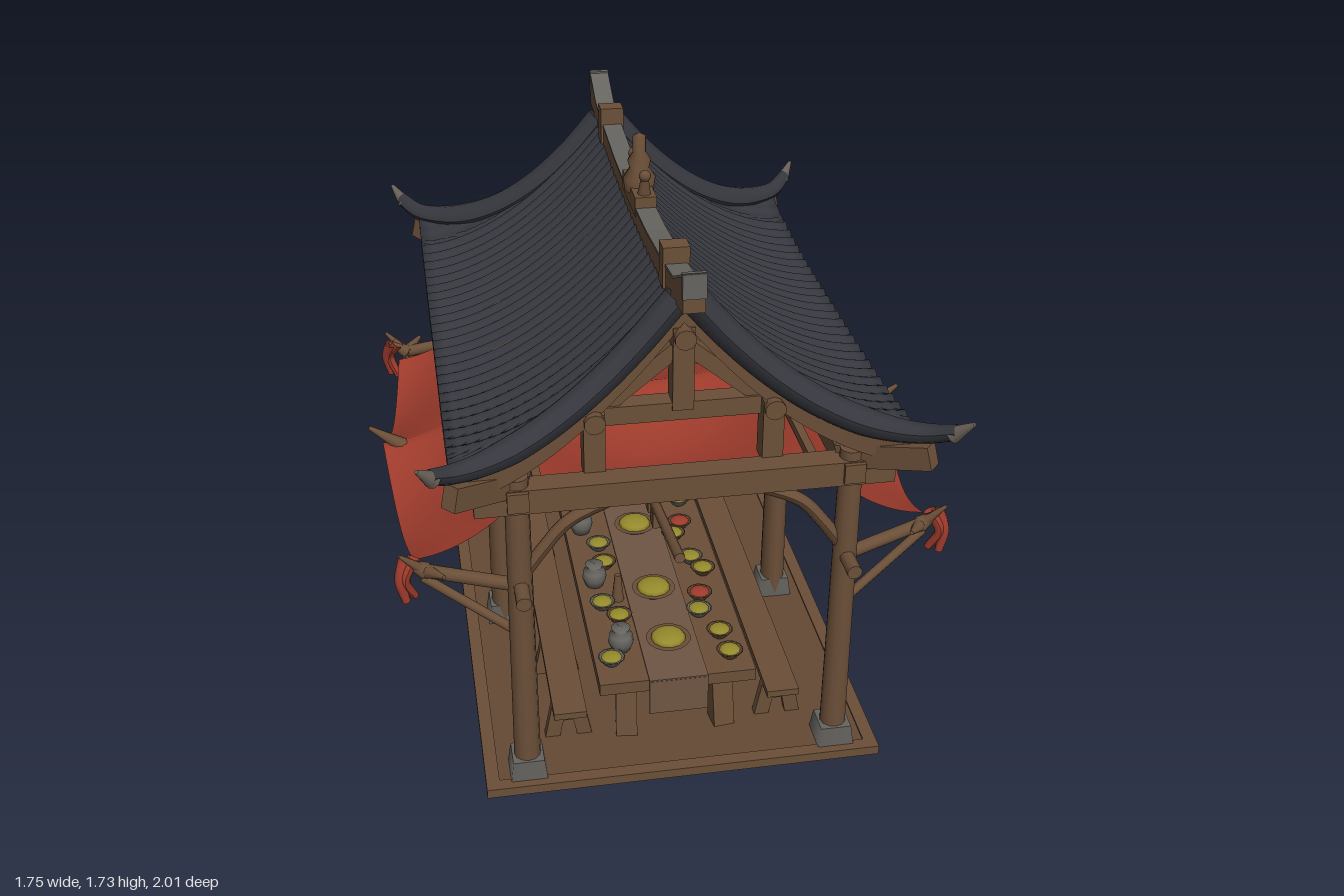
import * as THREE from 'three';

const mat = (name, color, side = THREE.FrontSide) => {
  const m = new THREE.MeshStandardMaterial({ color, side });
  m.name = name;
  return m;
};
const wood = mat('wood', 0x6b4f38, THREE.DoubleSide);
const floorWood = mat('floorWood', 0x644a35);
const tile = mat('roofTile', 0x36373e, THREE.DoubleSide);
const stone = mat('stone', 0x66645f);
const horn = mat('hornTip', 0x685f57);
const red = mat('redCloth', 0x9e3b2c, THREE.DoubleSide);
const runner = mat('tableRunner', 0x705644);
const yellow = mat('yellowFood', 0x958a2c);

const V = (x, y, z) => new THREE.Vector3(x, y, z);

export function createModel() {
  const root = new THREE.Group();
  root.name = 'pavilion';
  const add = (name, geo, m, x = 0, y = 0, z = 0) => {
    const mesh = new THREE.Mesh(geo, m);
    mesh.name = name;
    mesh.position.set(x, y, z);
    root.add(mesh);
    return mesh;
  };
  const box = (name, m, w, h, d, x, y, z) => add(name, new THREE.BoxGeometry(w, h, d), m, x, y, z);
  // Square beam or round rod from point a to point b
  const beam = (name, m, a, b, w, h = w) => {
    const mesh = box(name, m, w, h, a.distanceTo(b), 0, 0, 0);
    mesh.position.copy(a).lerp(b, 0.5);
    mesh.lookAt(b);
  };
  const rod = (name, m, a, b, r0, r1 = r0) => {
    const geo = new THREE.CylinderGeometry(r1, r0, a.distanceTo(b), 10).rotateX(Math.PI / 2);
    const mesh = add(name, geo, m);
    mesh.position.copy(a).lerp(b, 0.5);
    mesh.lookAt(b);
  };
  // Tube through points, tapering from r0 to r1 over the part after "from"
  const tube = (name, m, pts, r0, r1 = r0, from = 0, seg = 24) => {
    const curve = new THREE.CatmullRomCurve3(pts);
    const geo = new THREE.TubeGeometry(curve, seg, r0, 8);
    const p = geo.attributes.position, q = V(0, 0, 0);
    for (let i = 0; i < p.count; i++) {
      const t = Math.floor(i / 9) / seg;
      const k = 1 + (r1 / r0 - 1) * Math.max(0, (t - from) / (1 - from));
      q.fromBufferAttribute(p, i).sub(curve.getPointAt(t)).multiplyScalar(k).add(curve.getPointAt(t));
      p.setXYZ(i, q.x, q.y, q.z);
    }
    geo.computeVertexNormals();
    return add(name, geo, m);
  };
  // Surface from a rule f(u, v), with u and v from 0 to 1
  const sheet = (name, m, nu, nv, f) => {
    const geo = new THREE.PlaneGeometry(1, 1, nu, nv);
    const p = geo.attributes.position, uv = geo.attributes.uv;
    for (let i = 0; i < p.count; i++) p.setXYZ(i, ...f(uv.getX(i), uv.getY(i)));
    geo.computeVertexNormals();
    return add(name, geo, m);
  };

  // Floor
  box('floor', floorWood, 1.18, 0.02, 1.72, 0, 0.014, 0);
  for (const s of [-1, 1]) {
    box('floorEdge', wood, 0.04, 0.03, 1.74, s * 0.58, 0.015, 0);
    box('floorEdge', wood, 1.2, 0.03, 0.04, 0, 0.015, s * 0.85);
  }

  // Roof rules: half depth of the gable edge and height of the roof
  const EAVE = 0.65;
  const half = (x) => 0.74 + 0.18 * (x / EAVE) ** 2;
  const roofY = (x, t) => 1.07 + (0.43 + 0.04 * t * t) * Math.max(0, 1 - x / EAVE) ** 1.8
    + 0.07 * t ** 4 * (x / EAVE) ** 2;

  for (const sx of [-1, 1]) {
    sheet('roofTiles', tile, 280, 19, (u, v) => {
      const w = Math.min(1, v * 19 / 18), x = EAVE * w, t = u * 2 - 1, z = t * half(x);
      const ripple = 0.018 * Math.abs(Math.cos(Math.PI * z / 0.058)) * (Math.abs(z) < 0.74 ? 1 : 0.3);
      const drop = v === 1 ? 0.045 : 0;
      return [sx * x, roofY(x, t) + ripple - drop, z];
    });
    sheet('roofUnderside', wood, 20, 14, (u, v) => {
      const x = 0.63 * v, t = u * 2 - 1;
      return [sx * x, roofY(x, t) - 0.04, t * (half(x) - 0.03)];
    });
    rod('eaveBatten', wood, V(sx * 0.6, 1.05, -0.8), V(sx * 0.6, 1.05, 0.8), 0.02);

    for (const sz of [-1, 1]) {
      // Gable ridge sweeping out to an upturned corner
      const pts = [0.02, 0.12, 0.24, 0.36, 0.48, 0.58, 0.65].map((x) =>
        V(sx * x, roofY(x, 1) + 0.015, sz * (half(x) - 0.01)));
      pts.push(V(sx * 0.705, 1.185, sz * 0.965));
      tube('gableRidge', tile, pts, 0.042, 0.022, 0.7, 32);
      rod('cornerTip', horn, V(sx * 0.695, 1.172, sz * 0.955), V(sx * 0.735, 1.225, sz * 0.998), 0.025, 0.006);
      sheet('bargeBoard', wood, 16, 1, (u, v) => {
        const x = EAVE * u;
        return [sx * x, roofY(x, 1) - 0.01 - v * 0.075, sz * (half(x) - 0.01)];
      });
      beam('cornerRafter', wood, V(sx * 0.45, 1.02, sz * 0.75), V(sx * 0.655, 1.095, sz * 0.93), 0.05, 0.07);
      // Common rafters
      for (const z of [0.15, 0.4, 0.6]) {
        beam('rafter', wood, V(sx * 0.02, 1.42, sz * z), V(sx * 0.26, 1.2, sz * z), 0.03);
        beam('rafter', wood, V(sx * 0.26, 1.2, sz * z), V(sx * 0.6, 1.04, sz * z), 0.03);
      }
    }
  }

  // Main ridge: a sagging bar with raised ends and a stone cap
  const ridge = (name, m, lo, hi, width) => {
    const s = new THREE.Shape();
    const zs = [-0.86, -0.72, -0.58, -0.3, 0, 0.3, 0.58, 0.72, 0.86];
    const top = (z) => 1.525 + 0.055 * (z / 0.72) ** 2 + (Math.abs(z) > 0.8 ? 0.045 : 0);
    zs.forEach((z, i) => s[i ? 'lineTo' : 'moveTo'](z, top(z) + hi));
    zs.reverse().forEach((z) => s.lineTo(z, top(z) + lo - (lo < -0.02 && Math.abs(z) > 0.8 ? 0.045 : 0)));
    const geo = new THREE.ExtrudeGeometry(s, { depth: width, bevelEnabled: false });
    add(name, geo.translate(0, 0, -width / 2).rotateY(-Math.PI / 2), m);
  };
  ridge('ridgeBeam', wood, -0.06, 0, 0.06);
  ridge('ridgeCap', stone, 0, 0.008, 0.062);
  for (const s of [-1, 1]) {
    box('ridgeEnd', stone, 0.064, 0.07, 0.02, 0, 1.62, s * 0.855);
    box('ridgeBlock', wood, 0.075, 0.12, 0.06, 0, 1.56, s * 0.58);
    rod('sideFinial', wood, V(0, 1.54, s * 0.08), V(0, 1.62, s * 0.1), 0.025, 0.012);
    add('finialKnob', new THREE.SphereGeometry(0.018, 10, 8), wood, 0, 1.63, s * 0.1);
  }
  box('finialBase', wood, 0.065, 0.06, 0.24, 0, 1.54, 0);
  const finial = [[0.045, 1.55], [0.05, 1.59], [0.03, 1.62], [0.036, 1.645], [0.02, 1.67], [0.02, 1.72], [0, 1.73]];
  add('finial', new THREE.LatheGeometry(finial.map((p) => new THREE.Vector2(...p)), 12), wood);

  // Beams running the length of the roof
  rod('ridgePurlin', wood, V(0, 1.415, -0.76), V(0, 1.415, 0.76), 0.03);
  for (const sx of [-1, 1]) {
    rod('purlin', wood, V(sx * 0.25, 1.19, -0.78), V(sx * 0.25, 1.19, 0.78), 0.03);
    box('wallBeam', wood, 0.06, 0.06, 1.68, sx * 0.47, 1.0, 0);
    box('canopyRail', wood, 0.025, 0.025, 1.5, sx * 0.4, 0.95, 0);
  }

  // Trusses
  for (const k of [-1, 0, 1]) {
    const z = k * 0.7;
    box('tieBeam', wood, 1.18, 0.075, 0.075, 0, 0.995, k * 0.79);
    box('collarBeam', wood, 0.56, 0.055, 0.06, 0, 1.185, z);
    box('kingPost', wood, 0.06, 0.25, 0.07, 0, 1.315, z);
    for (const sx of [-1, 1]) {
      box('queenPost', wood, 0.06, 0.19, 0.065, sx * 0.25, 1.115, k * 0.73);
      beam('trussBrace', wood, V(sx * 0.02, 1.37, z), V(sx * 0.24, 1.19, z), 0.045);
      tube('curvedBrace', wood, [V(sx * 0.45, 0.75, k * 0.79), V(sx * 0.4, 0.82, k * 0.79),
        V(sx * 0.33, 0.9, k * 0.79), V(sx * 0.2, 0.965, k * 0.79)], 0.02);
    }
  }

  // Pillars with stone feet, awning poles and struts
  for (const sx of [-1, 1]) {
    for (const k of [-1, 0, 1]) {
      const x = sx * 0.47, z = k * 0.79;
      const pillar = add('pillar', new THREE.CylinderGeometry(0.034, 0.04, 1.02, 12), wood, x, 0.55, z);
      if (k === 0) pillar.scale.z = 1.35;
      const foot = new THREE.CylinderGeometry(0.066, 0.078, 0.065, 4).rotateY(Math.PI / 4);
      add('pillarFoot', foot, stone, x, 0.06, z);
      const tip = k === 0 ? V(sx * 0.87, 0.8, 0) : V(sx * 0.79, 0.75, k * 0.69);
      const mid = k === 0 ? V(sx * 0.76, 0.72, 0) : V(sx * 0.73, 0.71, k * 0.69);
      rod('awningPole', wood, V(x, 0.7, z), mid, 0.02);
      rod('awningPoleTip', wood, mid, tip, 0.026, 0.006);
      rod('awningStrut', wood, V(x, 0.53, z), V(sx * 0.74, 0.69, k * 0.69), 0.014);
      if (k === 0) continue;
      rod('pillarPeg', wood, V(x, 0.71, k * 0.7), V(x, 0.71, k * 0.9), 0.022);
      rod('poleFork', wood, mid, V(sx * 0.68, 0.73, k * 0.76), 0.022, 0.006);
      rod('poleHook', wood, mid, V(sx * 0.8, 0.78, k * 0.71), 0.018, 0.005);
      // Knotted cloth ends
      for (const d of [0, 0.025]) {
        tube('clothKnot', red, [V(sx * (0.76 + d), 0.75, k * 0.68), V(sx * (0.79 + d / 2), 0.69, k * 0.7),
          V(sx * (0.765 + d), 0.62, k * (0.68 + d))], 0.02, 0.012);
      }
    }
  }

  // Awnings outside and the sagging canopy inside
  const Z = 0.63;
  const scallop = (z) => Math.abs(Math.sin(Math.PI * z / Z));
  for (const sx of [-1, 1]) {
    sheet('awning', red, 14, 48, (u, v) => {
      const z = (v * 2 - 1) * Z, reach = 0.83 - 0.07 * Math.abs(z) / Z;
      const y = 0.94 - u * (0.2 + 0.03 * Math.abs(z) / Z) - 0.2 * u * (1 - u) - 0.1 * scallop(z) * u * u;
      return [sx * (0.4 + (reach - 0.4) * u), y, z];
    });
  }
  sheet('innerCanopy', red, 24, 48, (u, v) => {
    const x = (u * 2 - 1) * 0.4, z = (v * 2 - 1) * Z;
    return [x, 0.94 - (1 - (x / 0.4) ** 2) * (0.05 + 0.09 * scallop(z)), z];
  });

  // Hanging bars below the canopy
  for (const s of [-1, 1]) {
    rod('hangingBar', wood, V(0, 0.69, s * 0.72), V(0, 0.6, s * 0.22), 0.016);
    for (const z of [0.25, 0.34]) box('hangingBlock', wood, 0.035, 0.055, 0.05, 0, 0.59, s * z);
  }

  // Table with trestle legs and a runner
  box('tableTop', wood, 0.48, 0.04, 1.45, 0, 0.24, 0);
  for (const s of [-1, 1]) {
    box('runnerEnd', runner, 0.18, 0.12, 0.008, 0, 0.2, s * 0.732);
    box('tableCrossbar', wood, 0.36, 0.035, 0.05, 0, 0.205, s * 0.62);
    for (const sx of [-1, 1]) {
      beam('tableLeg', wood, V(sx * 0.15, 0.02, s * 0.66), V(sx * 0.145, 0.23, s * 0.62), 0.065);
    }
  }
  box('runner', runner, 0.18, 0.006, 1.47, 0, 0.262, 0);

  // Benches
  for (const sx of [-1, 1]) {
    box('benchSeat', wood, 0.1, 0.022, 1.44, sx * 0.33, 0.151, 0);
    for (const z of [-0.64, -0.33, 0.33, 0.64]) {
      for (const d of [-1, 1]) {
        beam('benchLeg', wood, V(sx * 0.33 + d * 0.05, 0.02, z), V(sx * 0.33 + d * 0.025, 0.15, z), 0.03, 0.045);
      }
      box('benchCrossbar', wood, 0.07, 0.02, 0.025, sx * 0.33, 0.09, z);
    }
  }

  // Dishes, cups and jars
  const bowl = new THREE.LatheGeometry([[0, 0], [0.022, 0], [0.042, 0.025], [0.036, 0.025], [0, 0.012]]
    .map((p) => new THREE.Vector2(...p)), 12);
  const jar = new THREE.LatheGeometry([[0, 0], [0.028, 0], [0.04, 0.03], [0.036, 0.055], [0.02, 0.065], [0.03, 0.08], [0, 0.08]]
    .map((p) => new THREE.Vector2(...p)), 12);
  for (let i = 0; i < 26; i++) {
    const x = [-0.16, 0.15][i % 2] + 0.03 * Math.sin(i * 2.3);
    const z = -0.64 + Math.floor(i / 2) * 0.107 + 0.02 * Math.cos(i * 1.7);
    if (i % 6 === 4) {
      add('jar', jar, stone, x, 0.26, z);
    } else {
      add('bowl', bowl, i % 3 ? wood : stone, x, 0.26, z);
      add('food', new THREE.SphereGeometry(0.034, 10, 6), i % 8 === 3 ? red : yellow, x, 0.281, z).scale.y = 0.4;
    }
  }
  for (const z of [-0.45, -0.1, 0.28, 0.55]) {
    add('platter', new THREE.CylinderGeometry(0.07, 0.05, 0.015, 16), wood, 0, 0.272, z);
    add('platterFood', new THREE.SphereGeometry(0.055, 12, 6), yellow, 0, 0.28, z).scale.y = 0.35;
  }
  for (const [x, z] of [[0.02, -0.36], [-0.12, 0.3], [0.03, -0.28]]) {
    rod('bottle', wood, V(x, 0.26, z), V(x, 0.355, z), 0.02, 0.01);
  }
  add('tallJar', jar, stone, 0.08, 0.26, -0.57).scale.y = 1.3;
  return root;
}
